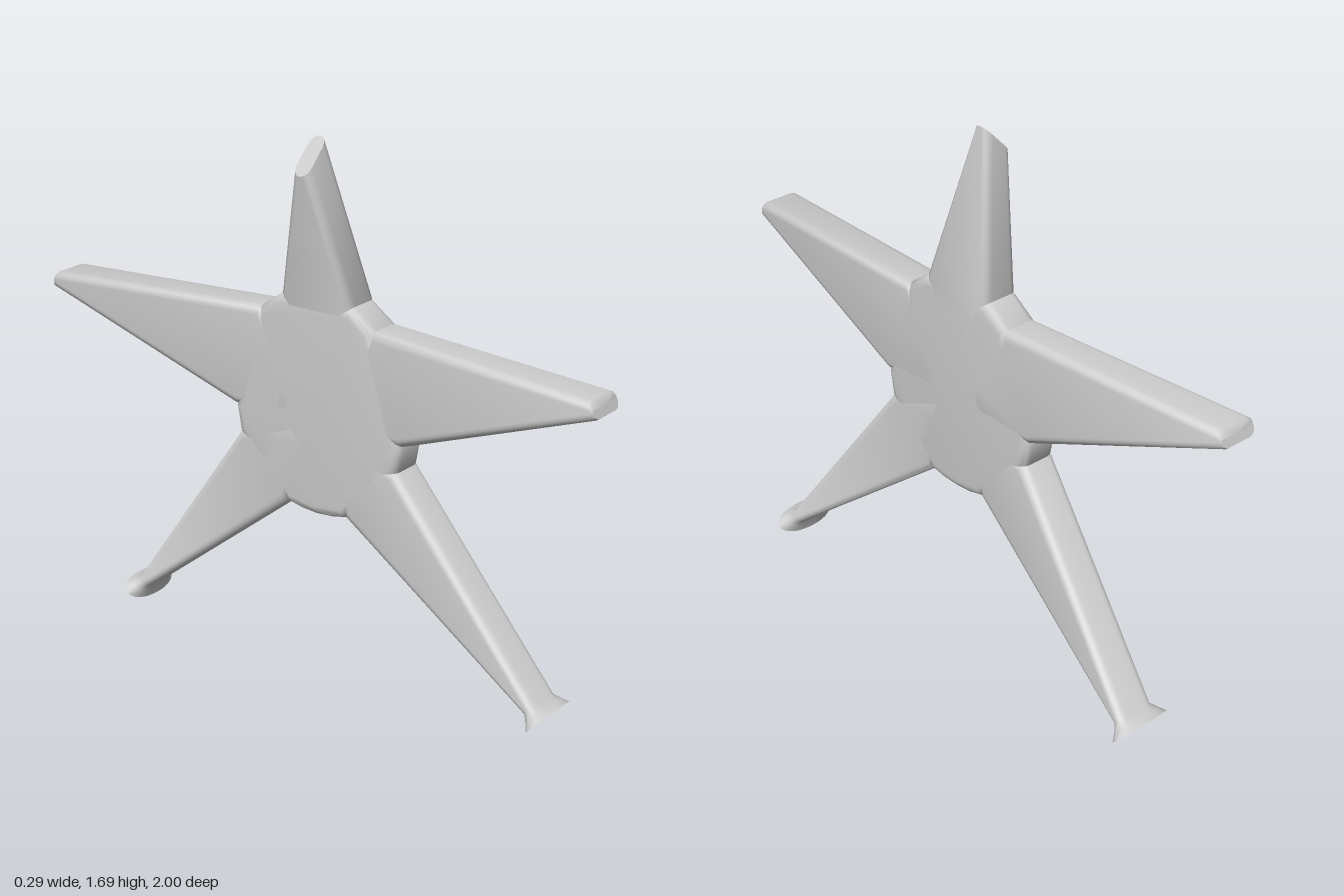
import * as THREE from 'three';
import { toCreasedNormals } from 'three/addons/utils/BufferGeometryUtils.js';

const material = new THREE.MeshStandardMaterial({ color: 0xcccccc });
const BACK = -0.078, FRONT = 0.055, CENTRE = [0, 0.83];

// Rounded-rectangle section spanning a -> b (z, y pairs) and x0 -> x1.
// ru, rx: corner radii across and through; slant: extra y per unit of x.
function ring(a, b, x0, x1, ru, rx, slant = 0) {
  const w = Math.hypot(b[0] - a[0], b[1] - a[1]), d = x1 - x0, steps = 5;
  ru = Math.min(ru, w * 0.49);
  rx = Math.min(rx, d * 0.49);
  const points = [];
  [[1, 1], [-1, 1], [-1, -1], [1, -1]].forEach(([su, sx], corner) => {
    for (let i = 0; i <= steps; i++) {
      const t = (corner + i / steps) * Math.PI / 2;
      const u = 0.5 + (su * (w / 2 - ru) + ru * Math.cos(t)) / w;
      const dx = sx * (d / 2 - rx) + rx * Math.sin(t);
      points.push([
        (x0 + x1) / 2 + dx,
        a[1] + (b[1] - a[1]) * u + slant * dx,
        a[0] + (b[0] - a[0]) * u,
      ]);
    }
  });
  return points;
}

// Skin a row of sections and close the outer end.
function loft(rings) {
  const n = rings[0].length, last = rings[rings.length - 1], index = [];
  const centre = [0, 1, 2].map(k => last.reduce((sum, p) => sum + p[k], 0) / n);
  const positions = [...rings.flat(), centre].flat();
  for (let r = 0; r < rings.length - 1; r++) {
    for (let i = 0; i < n; i++) {
      const a = r * n + i, b = r * n + (i + 1) % n;
      index.push(a, b, b + n, a, b + n, a + n);
    }
  }
  const start = (rings.length - 1) * n;
  for (let i = 0; i < n; i++) index.push(start + i, start + (i + 1) % n, rings.length * n);
  const geometry = new THREE.BufferGeometry();
  geometry.setAttribute('position', new THREE.Float32BufferAttribute(positions, 3));
  geometry.setIndex(index);
  return toCreasedNormals(geometry, 0.8);
}

// Inner root section, so the arm runs flush into the hub.
const inward = p => p.map((v, i) => CENTRE[i] + (v - CENTRE[i]) * 0.35);
const root = (a, b) => [
  ring(inward(a), inward(b), BACK, FRONT, 0.02, 0.03),
  ring(a, b, BACK, FRONT, 0.03, 0.03),
];

// Section on the +z side, or mirrored to -z with its ends swapped.
const flip = p => [-p[0], p[1]];
const sided = (side, a, b) => side > 0 ? [a, b] : [flip(b), flip(a)];

export function createModel() {
  const group = new THREE.Group();
  const add = (name, geometry) => {
    const mesh = new THREE.Mesh(geometry, material);
    mesh.name = name;
    group.add(mesh);
  };

  // Central hub with rounded rim
  const half = [[0.13, 1.2], [0.21, 1.143], [0.31, 0.805], [0.295, 0.72], [0.11, 0.53], [0.055, 0.518]];
  const outline = [...half, [0, 0.514], ...half.map(flip).reverse()];
  const bevel = 0.03;
  const hub = new THREE.ExtrudeGeometry(
    new THREE.Shape(outline.map(p => new THREE.Vector2(...p)).reverse()), {
      depth: FRONT - BACK - 2 * bevel, bevelEnabled: true, bevelSize: bevel,
      bevelOffset: -bevel, bevelThickness: bevel, bevelSegments: 5,
    });
  hub.translate(0, 0, BACK + bevel).rotateY(Math.PI / 2);
  add('hub', toCreasedNormals(hub, 0.8));

  // Upper arm with slanted tip
  add('upperArm', loft([
    ...root([-0.13, 1.2], [0.13, 1.2]),
    ring([-0.027, 1.64], [0.027, 1.64], -0.145, -0.045, 0.025, 0.025, 1),
  ]));

  for (const side of [1, -1]) {
    const prefix = side > 0 ? 'front' : 'rear';

    // Side arm
    add(prefix + 'Arm', loft([
      ...root(...sided(side, [0.21, 1.143], [0.31, 0.805])),
      ring(...sided(side, [0.975, 1.122], [0.995, 1.068]), -0.145, -0.005, 0.026, 0.026),
      ring(...sided(side, [0.983, 1.118], [1.0, 1.072]), -0.14, -0.01, 0.022, 0.022),
    ]));

    // Leg flaring into a shallow cupped foot
    add(prefix + 'Leg', loft([
      ...root(...sided(side, [0.295, 0.72], [0.11, 0.53])),
      ring(...sided(side, [0.767, 0.082], [0.735, 0.05]), -0.037, 0.103, 0.022, 0.03),
      ring(...sided(side, [0.792, 0.073], [0.745, 0.028]), -0.055, 0.12, 0.03, 0.06),
      ring(...sided(side, [0.815, 0.066], [0.752, 0.002]), -0.077, 0.142, 0.044, 0.1),
      ring(...sided(side, [0.793, 0.053], [0.755, 0.015]), -0.045, 0.11, 0.026, 0.07),
    ]));
  }
  return group;
}
